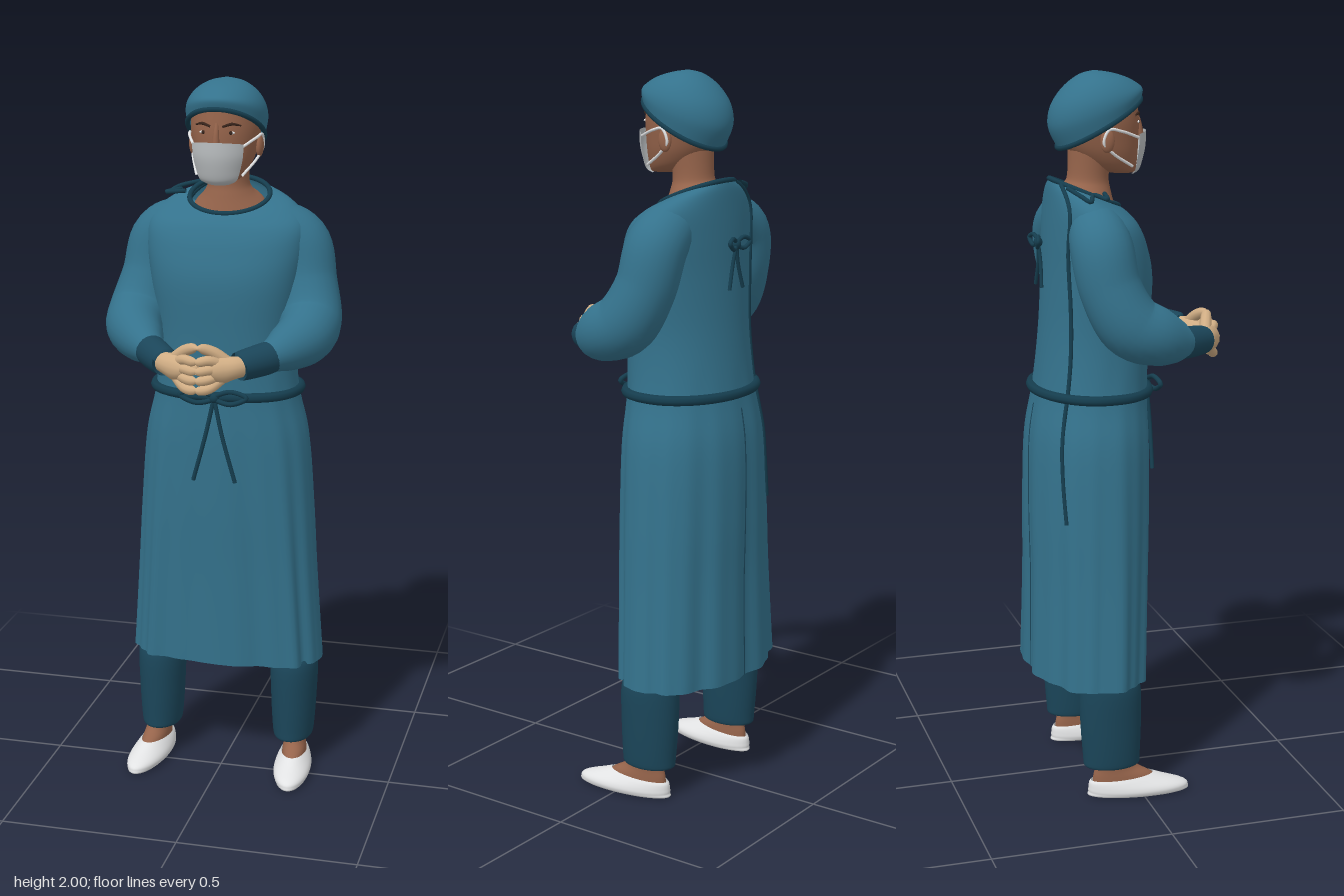
import * as THREE from 'three';

const mat = (name, color) => new THREE.MeshStandardMaterial({ name, color, side: THREE.DoubleSide });
const V = (p) => new THREE.Vector3(p[0], p[1], p[2]);

// Smooth interpolation through rows of numbers, t in 0..1
function rowAt(rows, t) {
  const n = rows.length - 1;
  const f = Math.min(Math.max(t, 0), 1) * n;
  const i = Math.min(Math.floor(f), n - 1);
  const u = f - i;
  const r = (k) => rows[Math.min(Math.max(k, 0), n)];
  return rows[i].map((b, k) => {
    const a = r(i - 1)[k], c = r(i + 1)[k], d = r(i + 2)[k];
    return b + 0.5 * u * (c - a + u * (2 * a - 5 * b + 4 * c - d + u * (3 * (b - c) + d - a)));
  });
}

// Point on a stack of rounded sections: [y, halfWidth, zFront, zBack, tilt, squareness of the front half]
function sectionPoint(rows, t, angle, { folds = 0, out = 0 } = {}) {
  const [y, hw, zf, zb, tilt, power = 2] = rowAt(rows, t);
  const c = Math.cos(angle), s = Math.sin(angle), e = s > 0 ? 2 / power : 1;
  const wave = folds * Math.max(0, 1 - t * 2.2) * (Math.sin(angle * 9) + 0.6 * Math.sin(angle * 17 + 1));
  const px = Math.sign(c) * Math.abs(c) ** e, pz = Math.sign(s) * Math.abs(s) ** e;
  return [px * (hw + out + wave), y - tilt * pz, (zf + zb) / 2 + pz * ((zf - zb) / 2 + out + wave)];
}

function loft(rows, opts = {}) {
  const { steps = 24, around = 36, from = 0, to = Math.PI * 2 } = opts;
  const closed = to - from > 6.28;
  const cols = closed ? around : around + 1;
  const pos = [], index = [];
  for (let j = 0; j <= steps; j++)
    for (let i = 0; i < cols; i++)
      pos.push(...sectionPoint(rows, j / steps, from + (to - from) * i / around, opts));
  for (let j = 0; j < steps; j++)
    for (let i = 0; i < around; i++) {
      const a = j * cols + i, b = j * cols + (i + 1) % cols;
      index.push(a, a + cols, b, b, a + cols, b + cols);
    }
  const g = new THREE.BufferGeometry();
  g.setAttribute('position', new THREE.Float32BufferAttribute(pos, 3));
  g.setIndex(index);
  g.computeVertexNormals();
  return g;
}

// Tube of changing thickness through points [x, y, z, radius]
function limb(points, steps = 24, sides = 14) {
  const curve = new THREE.CatmullRomCurve3(points.map(V));
  const g = new THREE.TubeGeometry(curve, steps, 1, sides);
  const p = g.attributes.position, v = new THREE.Vector3();
  for (let j = 0; j <= steps; j++) {
    const c = curve.getPointAt(j / steps);
    const r = rowAt(points.map((q) => [q[3]]), curve.getUtoTmapping(j / steps))[0];
    for (let i = 0; i <= sides; i++) {
      const k = j * (sides + 1) + i;
      v.fromBufferAttribute(p, k).sub(c).multiplyScalar(r).add(c);
      p.setXYZ(k, v.x, v.y, v.z);
    }
  }
  return g;
}

const cord = (points, r, closed = false, steps = 40) =>
  new THREE.TubeGeometry(new THREE.CatmullRomCurve3(points.map(V), closed), steps, r, 8, closed);

export function createModel() {
  const model = new THREE.Group();
  const gown = mat('gown teal', 0x34728c);
  const dark = mat('dark teal', 0x1b465a);
  const trim = mat('trim', 0x153d4e);
  const skin = mat('skin', 0x96644b);
  const glove = mat('glove tan', 0xd0ad84);
  const white = mat('shoe white', 0xe2e3e4);
  const grey = mat('mask grey', 0xbabec0);
  const hair = mat('brow and iris', 0x38241b);

  const add = (name, geometry, material, parent = model) => {
    const m = new THREE.Mesh(geometry, material);
    m.name = name;
    parent.add(m);
    return m;
  };
  const ball = (name, material, at, size, parent = model) => {
    const m = add(name, new THREE.SphereGeometry(1, 16, 12), material, parent);
    m.position.set(...at);
    m.scale.set(...size);
    return m;
  };

  // Gown body from hem to neckline
  const body = [
    [0.33, 0.274, 0.03, -0.272, 0, 3.2], [0.6, 0.257, 0.043, -0.266, 0, 3], [0.8, 0.247, 0.056, -0.267, 0, 2.7],
    [1.0, 0.232, 0.064, -0.262, 0, 2.5], [1.14, 0.203, 0.064, -0.24, 0, 2.4], [1.3, 0.194, 0.07, -0.222, 0, 2.4],
    [1.45, 0.212, 0.076, -0.212, 0, 2.4], [1.55, 0.225, 0.057, -0.207, 0.01, 2.4], [1.615, 0.22, 0.034, -0.202, 0.02, 2.3],
    [1.656, 0.175, 0.012, -0.197, 0.032, 2.1], [1.676, 0.112, -0.005, -0.19, 0.038, 2],
  ];
  const cloth = { folds: 0.006 };
  add('gown', loft(body, { ...cloth, steps: 60, around: 96 }), gown);
  const ring = (t, out) => Array.from({ length: 40 }, (_, i) =>
    sectionPoint(body, t, i / 40 * Math.PI * 2, { out }));
  add('collar', cord(ring(1, 0), 0.007, true, 80), trim);
  add('belt', cord(ring(0.4, 0.003), 0.014, true, 100), trim);

  // Overlap edge on the back and a fold down the centre
  const seam = Array.from({ length: 16 }, (_, i) =>
    sectionPoint(body, 0.2 + 0.78 * i / 15, 3.8 + 0.022 * i + 0.05 * Math.sin(i * 0.9), { ...cloth, out: 0.001 }));
  add('backOverlapEdge', cord(seam, 0.006, false, 60), trim);
  const fold = Array.from({ length: 8 }, (_, i) =>
    sectionPoint(body, 0.37 * i / 7, 4.7, { ...cloth, out: -0.001 }));
  add('backFold', cord(fold, 0.003), dark);

  // Bows with two loops and two tails
  const bow = (name, y, z, w, h, tailX, tail, dir, r) => {
    const g = new THREE.Group();
    g.name = name;
    g.position.set(0, y, z);
    for (const s of [-1, 1]) {
      add('bowLoop', cord([[0, 0, 0], [s * w * 0.5, h, dir * 0.006], [s * w, h * 0.4, dir * 0.012],
        [s * w * 0.5, -h * 0.6, dir * 0.008]], r, true), trim, g);
      add('bowTail', cord([[0, 0, 0], [s * tailX * 0.4, -tail * 0.45, 0.003], [s * tailX, -tail, 0]], r * 0.85), trim, g);
    }
    ball('bowKnot', trim, [0, 0, 0], [0.014, 0.014, 0.012], g);
    model.add(g);
  };
  bow('frontBow', 1.14, 0.081, 0.095, 0.022, 0.06, 0.24, 1, 0.007);
  bow('backBow', 1.545, -0.227, 0.048, 0.018, 0.032, 0.12, -1, 0.006);
  add('shoulderTie', cord([[-0.1, 1.7, -0.17], [-0.16, 1.685, -0.15], [-0.18, 1.672, -0.13], [-0.14, 1.685, -0.11],
    [-0.18, 1.678, -0.085], [-0.12, 1.685, -0.075]], 0.006), trim);

  // Arms and legs, built on the left and mirrored
  for (const [side, s] of [['left', 1], ['right', -1]]) {
    const at = (pts) => pts.map(([x, ...rest]) => [x * s, ...rest]);
    add(side + 'Sleeve', limb(at([[0.08, 1.605, -0.1, 0.05], [0.14, 1.59, -0.103, 0.074], [0.197, 1.55, -0.105, 0.084],
      [0.223, 1.445, -0.088, 0.083], [0.243, 1.35, -0.038, 0.087], [0.24, 1.318, 0.025, 0.081],
      [0.2, 1.292, 0.09, 0.062], [0.165, 1.277, 0.13, 0.042]]), 40, 24), gown);
    add(side + 'Cuff', limb(at([[0.185, 1.28, 0.1, 0.042], [0.15, 1.275, 0.15, 0.044],
      [0.1, 1.268, 0.213, 0.037], [0.103, 1.268, 0.209, 0.02]]), 20, 20), dark);

    const hand = new THREE.Group();
    hand.name = side + 'Hand';
    model.add(hand);
    add('palm', limb(at([[0.115, 1.268, 0.2, 0.028], [0.09, 1.267, 0.222, 0.031], [0.06, 1.264, 0.237, 0.038],
      [0.038, 1.262, 0.248, 0.032], [0.025, 1.262, 0.254, 0.012]])), glove, hand);
    for (let i = 0; i < 4; i++) {
      const y = 1.215 + i * 0.026;
      add('finger', limb(at([[0.065, 1.24 + i * 0.013, 0.243, 0.014], [0.032, y, 0.267, 0.0135],
        [0.008, y - 0.004, 0.272, 0.0125], [-0.006, y - 0.004, 0.268, 0.003]]), 14, 10), glove, hand);
    }
    add('thumb', limb(at([[0.075, 1.282, 0.228, 0.017], [0.04, 1.31, 0.242, 0.016],
      [0.01, 1.322, 0.254, 0.013], [-0.003, 1.321, 0.258, 0.003]]), 14, 10), glove, hand);
    add('innerFingertip', limb(at([[0.008, 1.26, 0.262, 0.01], [0.01, 1.26, 0.235, 0.01],
      [0.02, 1.262, 0.208, 0.009], [0.021, 1.262, 0.201, 0.002]]), 12, 10), glove, hand);

    const leg = new THREE.Group();
    leg.name = side + 'Leg';
    leg.position.x = 0.2 * s;
    model.add(leg);
    add('trouserLeg', loft([[0.1, 0.04, -0.03, -0.13, 0], [0.09, 0.054, -0.003, -0.158, 0], [0.12, 0.06, 0, -0.163, 0],
      [0.22, 0.066, 0.003, -0.17, 0], [0.325, 0.068, 0, -0.172, 0], [0.37, 0.05, -0.03, -0.165, 0],
      [0.5, 0.02, -0.07, -0.13, 0]]), dark, leg);
    const foot = new THREE.Group();
    foot.name = side + 'Foot';
    foot.position.x = 0.015 * s;
    foot.rotation.y = 0.1 * s;
    leg.add(foot);
    add('shoe', loft([[0.001, 0.003, 0.01, -0.01, 0], [0, 0.042, 0.125, -0.14, 0], [0.012, 0.053, 0.137, -0.15, 0],
      [0.026, 0.052, 0.125, -0.15, 0], [0.042, 0.044, 0.07, -0.148, -0.003], [0.052, 0.037, 0.035, -0.143, -0.006]]),
      white, foot);
    add('ankle', loft([[0.03, 0.036, 0.058, -0.138, 0], [0.058, 0.034, 0.03, -0.136, 0],
      [0.085, 0.032, -0.012, -0.13, 0], [0.13, 0.035, -0.03, -0.128, 0]]), skin, foot);
  }

  // Neck and head
  add('neck', loft([[1.6, 0.125, -0.005, -0.185, 0.02], [1.652, 0.1, -0.012, -0.178, 0.03], [1.69, 0.068, -0.025, -0.155, 0.01],
    [1.72, 0.057, -0.03, -0.143, 0], [1.79, 0.06, -0.02, -0.14, 0]]), skin);
  add('head', loft([[1.725, 0.004, 0.025, 0.015, 0], [1.727, 0.035, 0.043, -0.03, 0], [1.745, 0.06, 0.048, -0.09, 0],
    [1.78, 0.078, 0.051, -0.13, 0], [1.82, 0.088, 0.053, -0.155, 0], [1.87, 0.095, 0.054, -0.17, 0],
    [1.93, 0.092, 0.048, -0.168, 0]], { steps: 36, around: 48 }), skin);
  add('nose', limb([[0, 1.888, 0.048, 0.006], [0, 1.86, 0.056, 0.008], [0, 1.82, 0.06, 0.012]]), skin);
  for (const s of [-1, 1]) {
    ball('ear', skin, [s * 0.093, 1.82, -0.058], [0.011, 0.032, 0.02]);
    ball('eye', white, [s * 0.038, 1.864, 0.043], [0.011, 0.004, 0.004]);
    ball('iris', hair, [s * 0.038, 1.864, 0.046], [0.005, 0.005, 0.003]);
    add('eyebrow', limb([[s * 0.016, 1.88, 0.052, 0.003], [s * 0.04, 1.887, 0.044, 0.004],
      [s * 0.062, 1.882, 0.028, 0.002]]), hair);
    add('maskStrap', cord([[s * 0.066, 1.825, 0.036], [s * 0.093, 1.845, -0.02], [s * 0.101, 1.85, -0.055],
      [s * 0.1, 1.815, -0.07], [s * 0.089, 1.785, -0.04], [s * 0.064, 1.748, 0.02]], 0.004), white);
  }

  // Face mask
  add('faceMask', loft([[1.722, 0.035, 0.043, -0.045, 0], [1.735, 0.066, 0.056, -0.08, 0], [1.765, 0.08, 0.066, -0.11, 0],
    [1.8, 0.09, 0.073, -0.125, 0], [1.822, 0.092, 0.074, -0.13, -0.018]],
    { from: Math.PI * 0.22, to: Math.PI * 0.78 }), grey);

  // Surgical cap with band
  const cap = [[1.86, 0.104, 0.058, -0.168, -0.066], [1.9, 0.111, 0.064, -0.194, -0.05], [1.935, 0.104, 0.049, -0.187, -0.03],
    [1.968, 0.081, 0.017, -0.154, -0.014], [1.991, 0.045, -0.025, -0.11, -0.003], [2.0, 0.002, -0.066, -0.07, 0]];
  add('cap', loft(cap, { steps: 30, around: 48 }), gown);
  add('capBand', cord(Array.from({ length: 32 }, (_, i) =>
    sectionPoint(cap, 0.01, i / 32 * Math.PI * 2)), 0.007, true, 80), trim);

  return model;
}
